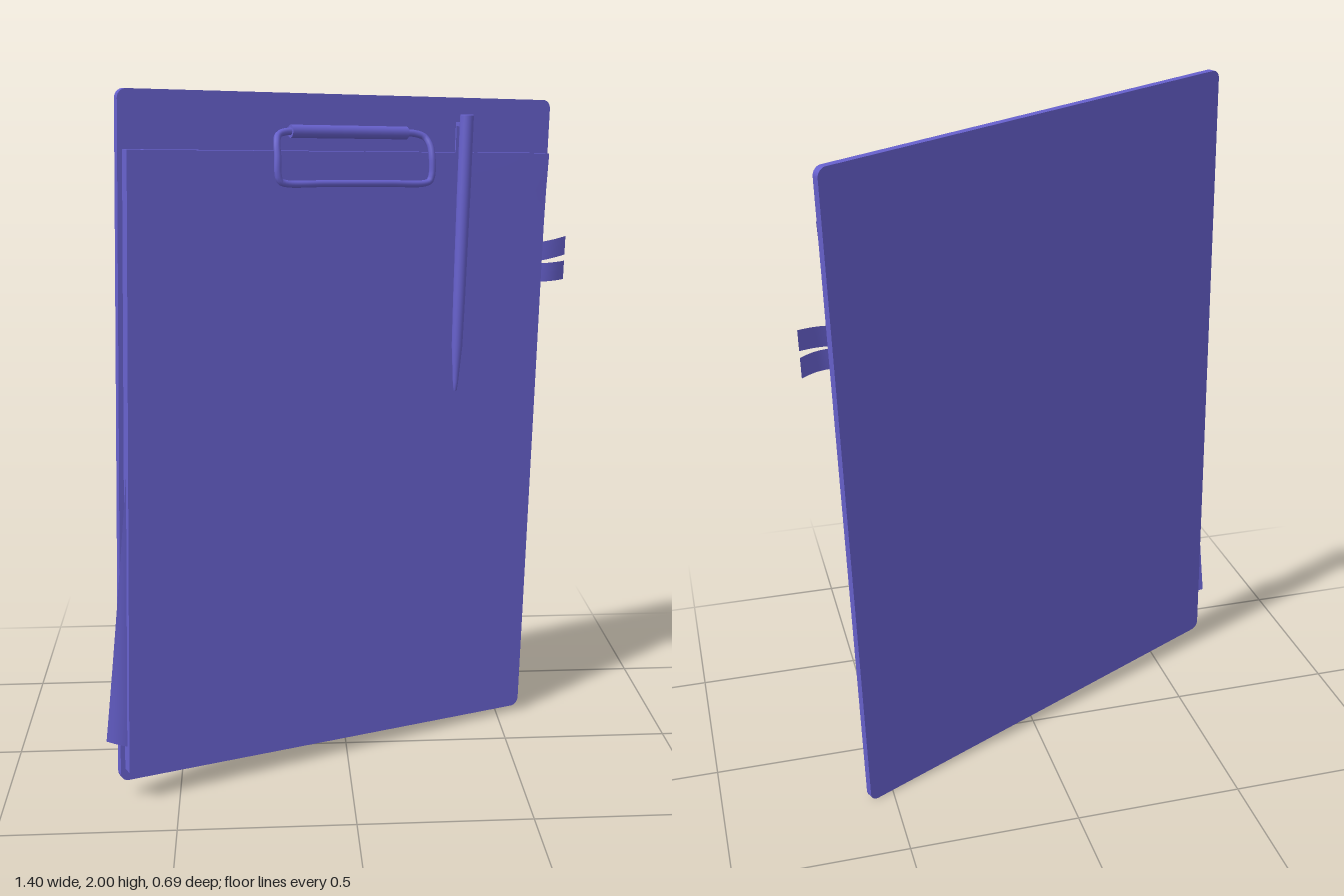
import * as THREE from 'three';

// Local frame: x across the board, y up the board, z out of the writing face
const W = 1.369, H = 1.942, T = 0.022;
const FRONT = T / 2;
const PAPER = { left: -0.671, right: 0.659, bottom: -0.933, top: 0.815, z: 0.048 };

function roundedSlab(w, h, depth, r) {
  const s = new THREE.Shape(), x = w / 2, y = h / 2;
  s.absarc(x - r, y - r, r, 0, Math.PI / 2);
  s.absarc(-x + r, y - r, r, Math.PI / 2, Math.PI);
  s.absarc(-x + r, -y + r, r, Math.PI, Math.PI * 1.5);
  s.absarc(x - r, -y + r, r, Math.PI * 1.5, Math.PI * 2);
  return new THREE.ExtrudeGeometry(s, { depth, bevelEnabled: false, curveSegments: 5 });
}

// Thin sheet whose points follow a rule of (s, t), both from 0 to 1
function sheet(segS, segT, rule) {
  const g = new THREE.PlaneGeometry(1, 1, segS, segT), p = g.attributes.position;
  for (let i = 0; i < p.count; i++) p.setXYZ(i, ...rule(p.getX(i) + 0.5, p.getY(i) + 0.5));
  g.computeVertexNormals();
  return g;
}

export function createModel() {
  const indigo = new THREE.MeshStandardMaterial({ color: 0x6660cc, side: THREE.DoubleSide });
  const group = new THREE.Group();
  group.name = 'clipboard';
  const add = (name, geometry, x = 0, y = 0, z = 0, parent = group) => {
    const m = new THREE.Mesh(geometry, indigo);
    m.name = name;
    m.position.set(x, y, z);
    parent.add(m);
    return m;
  };

  // Backing board
  add('board', roundedSlab(W, H, T, 0.025), 0, 0, -FRONT);

  // Paper stack with a top sheet whose upper right corner lifts a little
  const pw = PAPER.right - PAPER.left, ph = PAPER.top - PAPER.bottom;
  const depth = PAPER.z - FRONT - 0.002;
  add('paperStack', new THREE.BoxGeometry(pw, ph, depth),
    (PAPER.left + PAPER.right) / 2, (PAPER.bottom + PAPER.top) / 2, FRONT + depth / 2);
  add('topSheet', sheet(12, 16, (s, t) => {
    const curl = Math.max(0, s + t * 1.3 - 2.12);
    return [PAPER.left + pw * s, PAPER.bottom + ph * t, PAPER.z + curl * curl * 0.25];
  }));

  // Loose sheet slipping out at the lower left, bending back at its edge
  add('looseSheet', sheet(8, 8, (s, t) => {
    const edge = THREE.MathUtils.lerp(-0.725, -0.66, t);
    const x = THREE.MathUtils.lerp(edge, -0.63, s);
    const out = Math.max(0, -0.66 - x);
    return [x, THREE.MathUtils.lerp(-0.842 - 0.3 * (x + 0.725), 0.1, t), 0.03 - 5.5 * out * out];
  }));

  // Two page markers on the right edge
  const markers = [{ y: 0.52, slope: 0.17, sag: 0.008 }, { y: 0.455, slope: 0.05, sag: 0.013 }];
  for (const { y, slope, sag } of markers) {
    add('pageMarker', sheet(8, 1, (s, t) => [
      0.64 + 0.12 * s,
      y + slope * (0.12 * s - 0.03) + (t - 0.5) * 0.057,
      0.024 + sag * Math.sin(s * Math.PI)
    ]));
  }

  // Clip: hinge rod on the board and a wire loop pressing on the paper
  const clip = new THREE.Group();
  clip.name = 'clip';
  group.add(clip);
  add('clipRod', new THREE.CylinderGeometry(0.018, 0.018, 0.368, 16).rotateZ(Math.PI / 2),
    -0.007, 0.868, FRONT + 0.018, clip);
  const half = [[0.16, 0.868, 0.03], [0.205, 0.867, 0.031], [0.232, 0.858, 0.038],
    [0.243, 0.835, 0.053], [0.245, 0.80, 0.064], [0.245, 0.755, 0.067],
    [0.238, 0.735, 0.067], [0.218, 0.728, 0.067], [0.1, 0.728, 0.067]];
  const points = [...half.map(([x, y, z]) => [-x, y, z]), ...half.slice().reverse()]
    .map(p => new THREE.Vector3(...p));
  add('clipWire', new THREE.TubeGeometry(
    new THREE.CatmullRomCurve3(points, false, 'centripetal'), 96, 0.01, 8), 0, 0, 0, clip);

  // Pen lying on the paper, point down
  const pen = new THREE.Group();
  pen.name = 'pen';
  pen.position.set(0.355, 0, 0.067);
  group.add(pen);
  const profile = [[0, 0.111], [0.005, 0.114], [0.008, 0.14], [0.016, 0.25], [0.018, 0.4],
    [0.02, 0.7], [0.02, 0.92], [0.018, 0.924], [0, 0.924]].map(p => new THREE.Vector2(...p));
  add('penBody', new THREE.LatheGeometry(profile, 20), 0, 0, 0, pen);
  // Pocket clip hooked behind the top of the paper
  add('penClip', new THREE.BoxGeometry(0.014, 0.1, 0.005), -0.006, 0.85, -0.035, pen);
  add('penClipBridge', new THREE.BoxGeometry(0.014, 0.012, 0.03), -0.006, 0.896, -0.023, pen);

  // Lean and turn of the whole board
  const right = new THREE.Vector3(0.910, -0.044, -0.411).normalize();
  const up = new THREE.Vector3(0.0284, 0.9987, -0.041);
  const out = new THREE.Vector3().crossVectors(right, up).normalize();
  up.crossVectors(out, right);
  group.quaternion.setFromRotationMatrix(new THREE.Matrix4().makeBasis(right, up, out));
  group.position.set(-0.02, 1.0, -0.01);

  const model = new THREE.Group();
  model.name = 'clipboardModel';
  model.add(group);
  return model;
}
